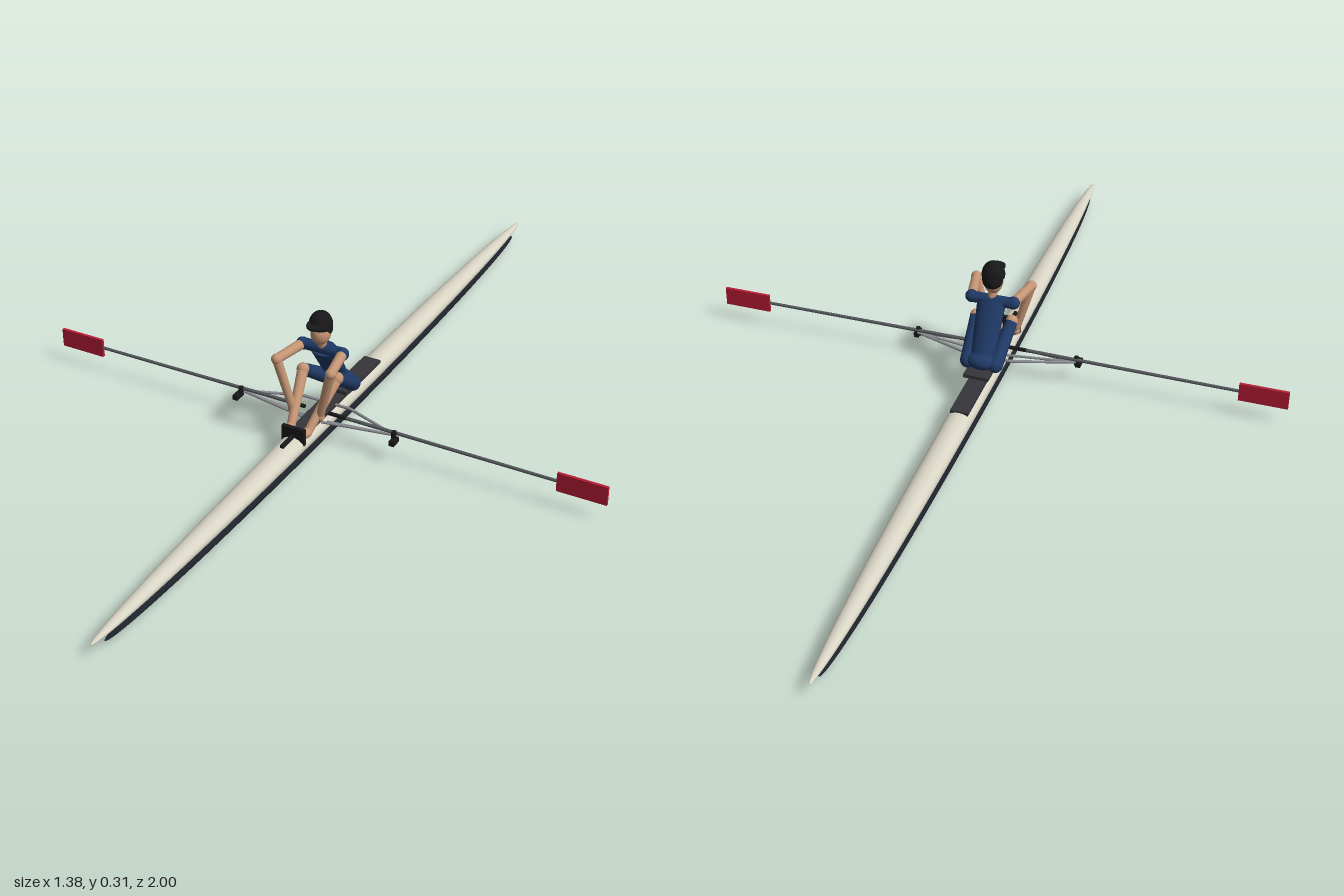
import * as THREE from 'three';

const mat = (color) => new THREE.MeshStandardMaterial({ color });
const M = {
  cream: mat(0xd8d4c4), dark: mat(0x1c222a), black: mat(0x18181a), deck: mat(0x35353a), metal: mat(0x8a8c90),
  shaft: mat(0x55585c), red: mat(0xb81c34), navy: mat(0x1f3a66), skin: mat(0xc49474),
};
const V = (x, y, z) => new THREE.Vector3(x, y, z);

export function createModel() {
  const root = new THREE.Group();
  root.name = 'singleScullWithRower';

  const add = (name, geo, material, pos = [0, 0, 0], rot = [0, 0, 0]) => {
    const m = new THREE.Mesh(geo, material);
    m.name = name;
    m.position.set(...pos);
    m.rotation.set(...rot);
    root.add(m);
    return m;
  };
  const box = (name, size, material, pos, rot) => add(name, new THREE.BoxGeometry(...size), material, pos, rot);
  const ball = (name, r, material, pos, scale = [1, 1, 1]) => {
    const m = add(name, new THREE.SphereGeometry(r, 20, 14), material, pos);
    m.scale.set(...scale);
    return m;
  };
  // Tapered rod between two points
  const rod = (name, a, b, ra, rb, material) => {
    const p = V(...a), q = V(...b), d = q.clone().sub(p);
    const m = add(name, new THREE.CylinderGeometry(rb, ra, d.length(), 14), material);
    m.position.copy(p).add(q).multiplyScalar(0.5);
    m.quaternion.setFromUnitVectors(V(0, 1, 0), d.normalize());
    return m;
  };
  // Spindle-shaped hull body
  const spindle = (name, rx, ry, rz, y, material) => {
    const geo = new THREE.SphereGeometry(1, 28, 48).rotateX(Math.PI / 2).scale(rx, ry, rz);
    add(name, geo, material, [0, y, 0]);
  };

  // Boat
  spindle('hull', 0.03, 0.022, 1, 0.037, M.cream);
  spindle('keel', 0.032, 0.015, 0.955, 0.015, M.dark);
  box('cockpitFloor', [0.042, 0.008, 0.36], M.deck, [0, 0.058, 0.04]);
  box('seat', [0.06, 0.008, 0.07], M.deck, [0, 0.075, 0.012]);
  box('seatCarriage', [0.03, 0.012, 0.045], M.black, [0, 0.066, 0.012]);
  box('footboard', [0.056, 0.042, 0.01], M.black, [0, 0.061, 0.232]);
  box('footboardBrace', [0.008, 0.008, 0.07], M.black, [0, 0.061, 0.25]);

  // Rower: trunk and head
  const trunk = rod('torso', [0, 0.088, 0.018], [0, 0.212, 0.095], 0.027, 0.034, M.navy);
  trunk.scale.set(1, 1, 0.62);
  ball('hips', 0.026, M.navy, [0, 0.096, 0.02], [1.35, 0.8, 1]);
  rod('shoulders', [-0.05, 0.213, 0.098], [0.05, 0.213, 0.098], 0.013, 0.013, M.navy);
  rod('neck', [0, 0.21, 0.097], [0, 0.245, 0.105], 0.011, 0.01, M.skin);
  ball('head', 0.025, M.skin, [0, 0.257, 0.107], [0.9, 1.08, 1]);
  const cap = new THREE.SphereGeometry(0.027, 20, 10, 0, Math.PI * 2, 0, Math.PI * 0.56);
  add('cap', cap, new THREE.MeshStandardMaterial({ color: 0x18181a, side: THREE.DoubleSide }),
    [0, 0.278, 0.106]).scale.y = 1.2;
  ball('hairBack', 0.024, M.black, [0, 0.267, 0.1], [1, 1, 0.98]);
  const brim = add('capBrim', new THREE.CylinderGeometry(0.023, 0.023, 0.004, 20), M.black,
    [0, 0.287, 0.128], [0.12, 0, 0]);
  brim.scale.set(0.9, 1, 1);

  for (const s of [1, -1]) {
    const side = s > 0 ? 'left' : 'right';
    const name = (part) => side + part;

    // Arm
    const shoulder = [s * 0.05, 0.213, 0.1], elbow = [s * 0.067, 0.212, 0.185], hand = [s * 0.034, 0.088, 0.175];
    ball(name('Shoulder'), 0.015, M.navy, shoulder);
    rod(name('UpperArm'), shoulder, elbow, 0.012, 0.011, M.skin);
    ball(name('Elbow'), 0.0125, M.skin, elbow);
    rod(name('Forearm'), elbow, hand, 0.011, 0.009, M.skin);
    ball(name('Hand'), 0.011, M.skin, hand);

    // Leg
    const hip = [s * 0.033, 0.09, 0.02], knee = [s * 0.043, 0.155, 0.112], ankle = [s * 0.022, 0.064, 0.205];
    ball(name('Hip'), 0.018, M.navy, hip);
    rod(name('Thigh'), hip, knee, 0.018, 0.014, M.navy);
    ball(name('Knee'), 0.0145, M.skin, knee);
    rod(name('Shin'), knee, ankle, 0.013, 0.01, M.skin);
    ball(name('Foot'), 0.011, M.skin, [s * 0.022, 0.063, 0.212], [1, 1, 1.6]);

    // Rigger and oarlock
    const pin = [s * 0.195, 0.062, 0.128];
    rod(name('RiggerRearStay'), [s * 0.022, 0.062, 0.08], [s * 0.06, 0.064, 0.083], 0.0035, 0.0035, M.metal);
    rod(name('RiggerRearTube'), [s * 0.06, 0.064, 0.083], pin, 0.0035, 0.003, M.metal);
    rod(name('RiggerLowerTube'), [s * 0.026, 0.045, 0.128], pin, 0.003, 0.003, M.metal);
    rod(name('RiggerFrontTube'), [s * 0.024, 0.056, 0.15], pin, 0.003, 0.003, M.metal);
    rod(name('OarlockPin'), [s * 0.195, 0.052, 0.132], [s * 0.195, 0.074, 0.132], 0.006, 0.006, M.black);
    box(name('OarlockGate'), [0.012, 0.012, 0.026], M.black, [s * 0.199, 0.054, 0.14]);

    // Oar
    rod(name('OarHandle'), [s * 0.03, 0.069, 0.128], [s * 0.075, 0.069, 0.128], 0.0045, 0.0045, M.black);
    rod(name('OarShaft'), [s * 0.07, 0.069, 0.128], [s * 0.6, 0.067, 0.128], 0.0042, 0.0035, M.shaft);
    box(name('OarBlade'), [0.114, 0.045, 0.007], M.red, [s * 0.634, 0.066, 0.128]);
  }
  return root;
}
